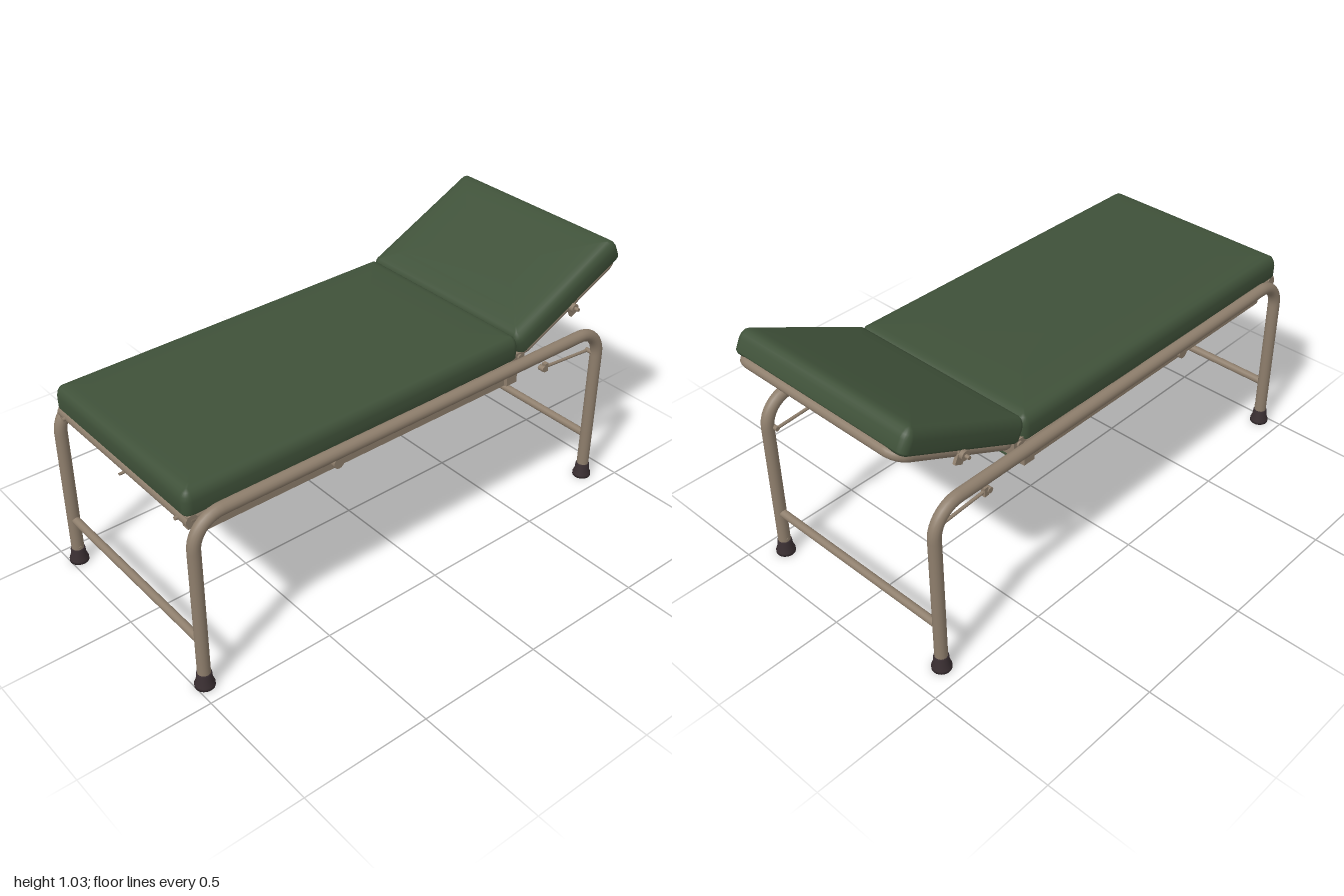
import * as THREE from 'three';

const mat = (name, color) => Object.assign(new THREE.MeshStandardMaterial({ color }), { name });
const V = (x, y, z) => new THREE.Vector3(x, y, z);

// Upholstered pad: rounded-rectangle rings, flat below and crowned above, base at y = 0
function cushionGeometry(w, h, d) {
  const corner = 0.03, steps = 6;
  const rings = [[0.03, 0], [0.007, 0], [0, 0.1], [0, 0.55], [0.004, 0.72], [0.012, 0.86],
    [0.024, 0.94], [0.045, 0.975], [0.1, 0.99], [0.2, 1]];
  const pos = [], index = [];
  for (const [inset, t] of rings) {
    const r = Math.max(corner - inset, 0.005);
    for (let q = 0; q < 4; q++) {
      const sx = q === 0 || q === 3 ? 1 : -1, sz = q < 2 ? 1 : -1;
      for (let i = 0; i <= steps; i++) {
        const a = (q + i / steps) * Math.PI / 2;
        pos.push(sx * (w / 2 - inset - r) + r * Math.cos(a), t * h,
          sz * (d / 2 - inset - r) + r * Math.sin(a));
      }
    }
  }
  const n = 4 * (steps + 1), top = (rings.length - 1) * n, bottomMid = rings.length * n;
  pos.push(0, 0, 0, 0, h, 0);
  for (let i = 0; i < n; i++) {
    const j = (i + 1) % n;
    for (let k = 0; k < top; k += n)
      index.push(k + i, k + n + i, k + j, k + j, k + n + i, k + n + j);
    index.push(bottomMid, i, j, bottomMid + 1, top + j, top + i);
  }
  const geo = new THREE.BufferGeometry();
  geo.setAttribute('position', new THREE.Float32BufferAttribute(pos, 3));
  geo.setIndex(index);
  geo.computeVertexNormals();
  return geo;
}

export function createModel() {
  const green = mat('green upholstery', 0x3f5139);
  const metal = mat('painted steel', 0x8e7e6c);
  const rubber = mat('dark rubber', 0x3a2f32);
  const model = new THREE.Group();
  model.name = 'examinationCouch';

  const add = (parent, name, geo, material, x = 0, y = 0, z = 0) => {
    const m = new THREE.Mesh(geo, material);
    m.name = name;
    m.position.set(x, y, z);
    parent.add(m);
    return m;
  };
  const box = (p, name, w, h, d, x, y, z, material = metal) =>
    add(p, name, new THREE.BoxGeometry(w, h, d), material, x, y, z);

  // Straight round bar between two points
  const rod = (p, name, a, b, r) => {
    const m = add(p, name, new THREE.CylinderGeometry(r, r, a.distanceTo(b), 16), metal);
    m.position.copy(a).add(b).multiplyScalar(0.5);
    m.quaternion.setFromUnitVectors(V(0, 1, 0), b.clone().sub(a).normalize());
    return m;
  };

  // Bent tube: straight runs joined by rounded corners
  const bentTube = (p, name, pts, bend, r) => {
    const path = new THREE.CurvePath();
    let last = pts[0];
    for (let i = 1; i < pts.length - 1; i++) {
      const c = pts[i];
      const a = c.clone().add(pts[i - 1].clone().sub(c).setLength(bend));
      const b = c.clone().add(pts[i + 1].clone().sub(c).setLength(bend));
      const k = 0.55;
      path.add(new THREE.LineCurve3(last, a));
      path.add(new THREE.CubicBezierCurve3(a, a.clone().lerp(c, k), b.clone().lerp(c, k), b));
      last = b;
    }
    path.add(new THREE.LineCurve3(last, pts[pts.length - 1]));
    return add(p, name, new THREE.TubeGeometry(path, 170, r, 16, false), metal);
  };

  const frontZ = 0.967, backZ = -0.89, tubeX = 0.417;

  // Rubber foot profile
  const foot = new THREE.LatheGeometry([
    [0, 0], [0.036, 0], [0.036, 0.012], [0.029, 0.03], [0.027, 0.056], [0.023, 0.06], [0, 0.06],
  ].map(([x, y]) => new THREE.Vector2(x, y)), 24);

  for (const s of [-1, 1]) {
    // Side frame: two legs and the top rail in one bent tube
    bentTube(model, 'sideFrame', [
      V(s * tubeX, 0.03, frontZ), V(s * tubeX, 0.692, frontZ),
      V(s * tubeX, 0.692, backZ), V(s * tubeX, 0.03, backZ)], 0.11, 0.0235);
    for (const z of [frontZ, backZ]) {
      add(model, 'foot', foot, rubber, s * tubeX, 0, z);
      rod(model, 'legBolt', V(s * 0.392, 0.07, z), V(s * 0.4, 0.07, z), 0.006);
    }

    // Rail under the mattress
    box(model, 'bedRail', 0.008, 0.085, 1.35, s * 0.384, 0.65, 0.215);
    rod(model, 'bedFrameTube', V(s * 0.38, 0.68, 0.955), V(s * 0.38, 0.684, -0.46), 0.021);
    rod(model, 'railClamp', V(s * 0.385, 0.64, 0.38), V(s * 0.412, 0.64, 0.38), 0.022);

    // Hinge and corner brackets
    box(model, 'hingeBracket', 0.022, 0.065, 0.05, s * 0.392, 0.645, -0.44);
    box(model, 'hingePlate', 0.01, 0.055, 0.06, s * 0.39, 0.7, -0.475);
    rod(model, 'hingePin', V(s * 0.375, 0.71, -0.48), V(s * 0.402, 0.71, -0.48), 0.012);
    box(model, 'frontBracket', 0.03, 0.045, 0.03, s * 0.385, 0.675, 0.955);
    rod(model, 'bracketBolt', V(s * 0.35, 0.675, 0.972), V(s * 0.35, 0.675, 0.986), 0.007);

    // Prop rod pivoted on the back leg, with a clamp at its free end
    rod(model, 'propRod', V(s * 0.387, 0.583, -0.88), V(s * 0.387, 0.603, -0.62), 0.006);
    rod(model, 'propPivot', V(s * 0.38, 0.584, -0.875), V(s * 0.418, 0.584, -0.875), 0.009);
    box(model, 'propClamp', 0.018, 0.035, 0.018, s * 0.387, 0.602, -0.635);
    rod(model, 'propKnob', V(s * 0.375, 0.602, -0.62), V(s * 0.4, 0.602, -0.62), 0.011);
  }

  // Cross bars between the legs
  for (const z of [frontZ, backZ])
    rod(model, 'legCrossBar', V(-tubeX, 0.196, z), V(tubeX, 0.196, z), 0.0155);

  // Bed end tubes
  rod(model, 'frontEndTube', V(-0.4, 0.677, 0.953), V(0.4, 0.677, 0.953), 0.0235);
  rod(model, 'rearEndTube', V(-0.4, 0.684, -0.45), V(0.4, 0.684, -0.45), 0.021);
  rod(model, 'frontStud', V(0.007, 0.645, 0.953), V(0.007, 0.645, 0.98), 0.005);

  // Upholstered panel closing the underside between the rails
  box(model, 'undersidePanel', 0.76, 0.006, 1.35, 0, 0.608, 0.215, green);

  // Notched gusset plate at the hinge end
  const gusset = new THREE.Shape([[-0.38, 0.61], [0.38, 0.61], [0.38, 0.66], [0.3, 0.655],
    [0, 0.612], [-0.3, 0.655], [-0.38, 0.66]].map(([x, y]) => new THREE.Vector2(x, y)));
  add(model, 'hingeGusset',
    new THREE.ExtrudeGeometry(gusset, { depth: 0.008, bevelEnabled: false }), metal, 0, 0, -0.455);

  // Main mattress, rising slightly towards the head
  const mattress = add(model, 'mattress', cushionGeometry(0.808, 0.1, 1.445), green, 0, 0.703, 0.255);
  mattress.rotation.x = 0.009;

  // Raised headrest, built flat and tilted about its hinge
  const head = new THREE.Group();
  head.name = 'headrest';
  head.position.set(0, 0.716, -0.483);
  head.rotation.x = 0.45;
  model.add(head);
  add(head, 'headCushion', cushionGeometry(0.812, 0.096, 0.562), green, 0, 0, -0.281);
  bentTube(head, 'headFrame', [
    V(0, -0.012, -0.005), V(0.376, -0.012, -0.005), V(0.376, -0.012, -0.548),
    V(-0.376, -0.012, -0.548), V(-0.376, -0.012, -0.005), V(0, -0.012, -0.005)], 0.05, 0.019);
  for (const s of [-1, 1]) {
    box(head, 'propBracket', 0.012, 0.05, 0.035, s * 0.394, -0.026, -0.28);
    rod(head, 'propPin', V(s * 0.38, -0.012, -0.28), V(s * 0.432, -0.012, -0.28), 0.007);
    rod(head, 'propPinCollar', V(s * 0.4, -0.012, -0.28), V(s * 0.416, -0.012, -0.28), 0.017);
    for (const z of [-0.08, -0.48])
      box(head, 'cushionTab', 0.04, 0.006, 0.03, s * 0.35, -0.004, z);
  }
  return model;
}
